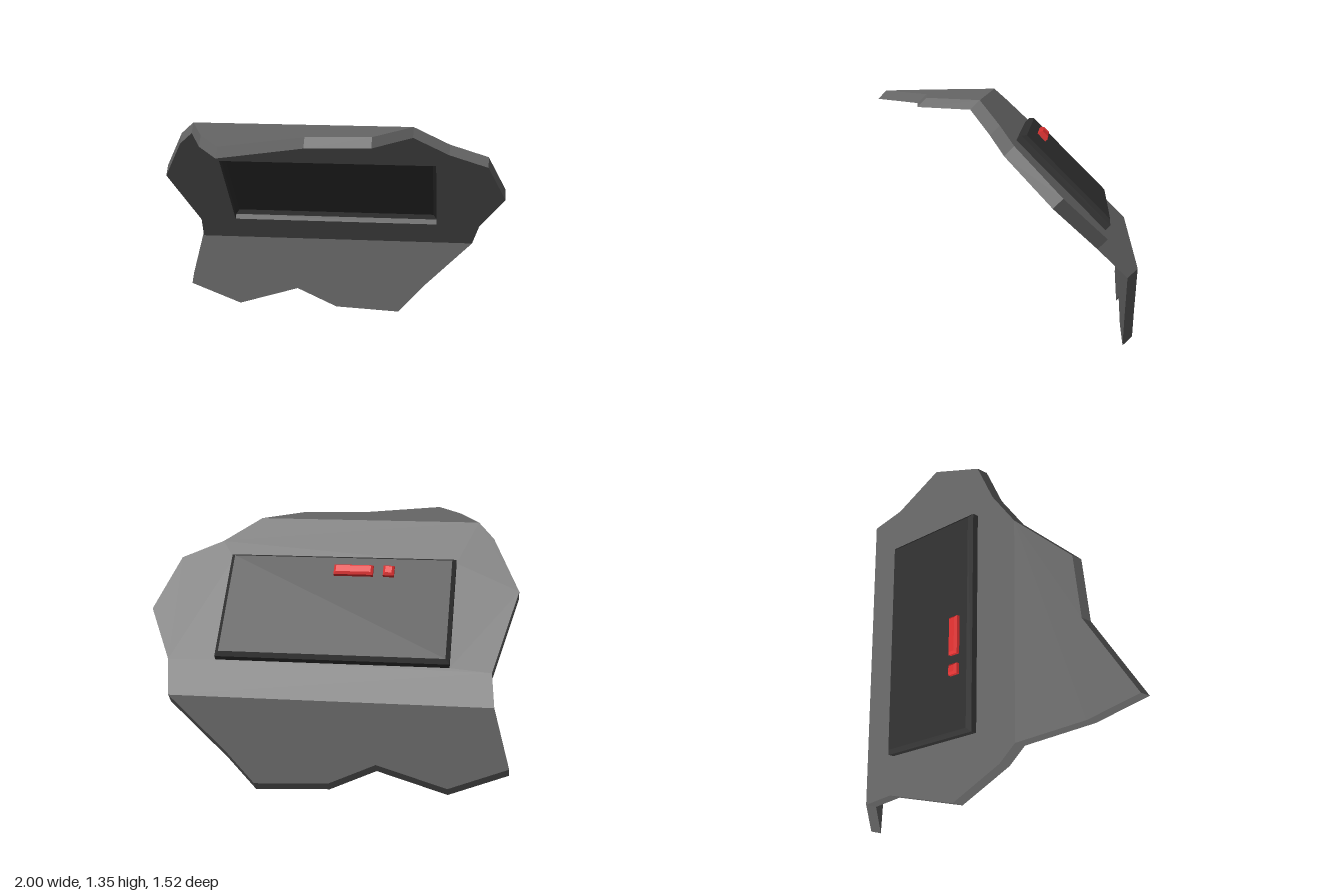
import * as THREE from 'three';

// Sheet is folded from a flat (x, v) pattern: wall below WALL, slope up to TOP, roof beyond
const WALL = 0.47, TOP = 1.3, BACK = -0.711, FOLD = 0.117;
const NORMAL = new THREE.Vector3(0, 1, -1).normalize();
const THICK = 0.072;
const PANE_WALL = 0.035, PANE_BEVEL = 0.021;

function fold(x, v, depth = 0) {
  const p = new THREE.Vector3(x, v, BACK);
  if (v > TOP) p.set(x, TOP, FOLD + v - TOP);
  else if (v > WALL) p.z = THREE.MathUtils.mapLinear(v, WALL, TOP, BACK, FOLD);
  return p.addScaledVector(NORMAL, depth);
}

function makeMesh(name, tris, color) {
  const geo = new THREE.BufferGeometry().setFromPoints(tris);
  geo.computeVertexNormals();
  const mesh = new THREE.Mesh(geo, new THREE.MeshStandardMaterial({ color, flatShading: true }));
  mesh.name = name;
  return mesh;
}

// Flat panel of the pattern as two skins, inner and outer
function addPanel(tris, outline, hole) {
  const shape = new THREE.Shape(outline.map(([x, v]) => new THREE.Vector2(x, v)));
  if (hole) shape.holes.push(new THREE.Path(hole.map(([x, v]) => new THREE.Vector2(x, v))));
  const geo = new THREE.ShapeGeometry(shape);
  const pos = geo.attributes.position, idx = geo.index.array;
  for (let i = 0; i < idx.length; i += 3) {
    const at = (k, d) => fold(pos.getX(idx[i + k]), pos.getY(idx[i + k]), d);
    tris.push(at(0, 0), at(1, 0), at(2, 0), at(0, THICK), at(2, THICK), at(1, THICK));
  }
}

// Band of quads between two closed rings of points
function addBand(tris, near, far) {
  near.forEach((a, i) => {
    const j = (i + 1) % near.length;
    tris.push(a, far[i], near[j], near[j], far[i], far[j]);
  });
}

const corners = ([x0, x1, v0, v1], inset = 0) => {
  const s = inset * Math.SQRT1_2;
  return [[x0 + inset, v0 + s], [x1 - inset, v0 + s], [x1 - inset, v1 - s], [x0 + inset, v1 - s]];
};

// Raised rectangle with a bevelled rim, standing on the slope
function bevelled(rect, base, wall, bevel) {
  const ring = (inset, d) => corners(rect, inset).map(([x, v]) => fold(x, v, d));
  const r = [ring(0, base), ring(0, base + wall), ring(bevel, base + wall + bevel)];
  const tris = [];
  addBand(tris, r[0], r[1]);
  addBand(tris, r[1], r[2]);
  const [a, b, c, d] = r[2];
  tris.push(a, c, b, a, d, c);
  return tris;
}

// Reverse the winding so the surface faces the other way
function flipped(tris) {
  const out = [];
  for (let i = 0; i < tris.length; i += 3) out.push(tris[i], tris[i + 2], tris[i + 1]);
  return out;
}

export function createModel() {
  const group = new THREE.Group();
  group.name = 'brokenHullPanel';

  // Torn edges of the three panels, counter-clockwise
  const wallEdge = [[-0.895, WALL], [-0.98, 0.145], [-0.665, 0.022], [-0.29, 0.135],
    [-0.04, 0.02], [0.36, 0], [0.51, 0.17], [0.815, WALL]];
  const rightEdge = [[0.815, WALL], [0.855, 0.625], [1, 0.85], [0.89, 1.097], [0.67, 1.182], [0.47, TOP]];
  const roofV = z => TOP + z - FOLD;
  const roofEdge = [[0.47, TOP], [0.265, roofV(0.425)], [-0.09, roofV(0.467)],
    [-0.5, roofV(0.76)], [-0.645, roofV(0.48)], [-0.765, TOP]];
  const leftEdge = [[-0.765, TOP], [-0.852, 1.222], [-1, 0.977], [-0.875, 0.615], [-0.895, WALL]];

  const paneRect = [-0.655, 0.595, 0.63, 1.1];
  const plate = [];
  addPanel(plate, wallEdge);
  addPanel(plate, [...rightEdge, ...leftEdge], corners(paneRect));
  addPanel(plate, roofEdge);
  // Thickness around the whole edge
  const rim = [wallEdge, rightEdge, roofEdge, leftEdge].flatMap(e => e.slice(0, -1));
  addBand(plate, rim.map(([x, v]) => fold(x, v)), rim.map(([x, v]) => fold(x, v, THICK)));
  group.add(makeMesh('foldedPlate', plate, 0x666666));

  // Window pushed outwards: raised outside, recessed inside
  group.add(makeMesh('window', [
    ...bevelled(paneRect, THICK, PANE_WALL, PANE_BEVEL),
    ...flipped(bevelled(paneRect, 0, PANE_WALL, PANE_BEVEL)),
  ], 0x303030));

  // Two red lights near the top of the window
  const lightBase = THICK + PANE_WALL + PANE_BEVEL;
  for (const [name, x0, x1] of [['smallLight', -0.325, -0.265], ['longLight', -0.21, 0.005]]) {
    group.add(makeMesh(name, bevelled([x0, x1, 1.0, 1.045], lightBase - 0.005, 0.023, 0.012), 0xdd3030));
  }
  return group;
}
